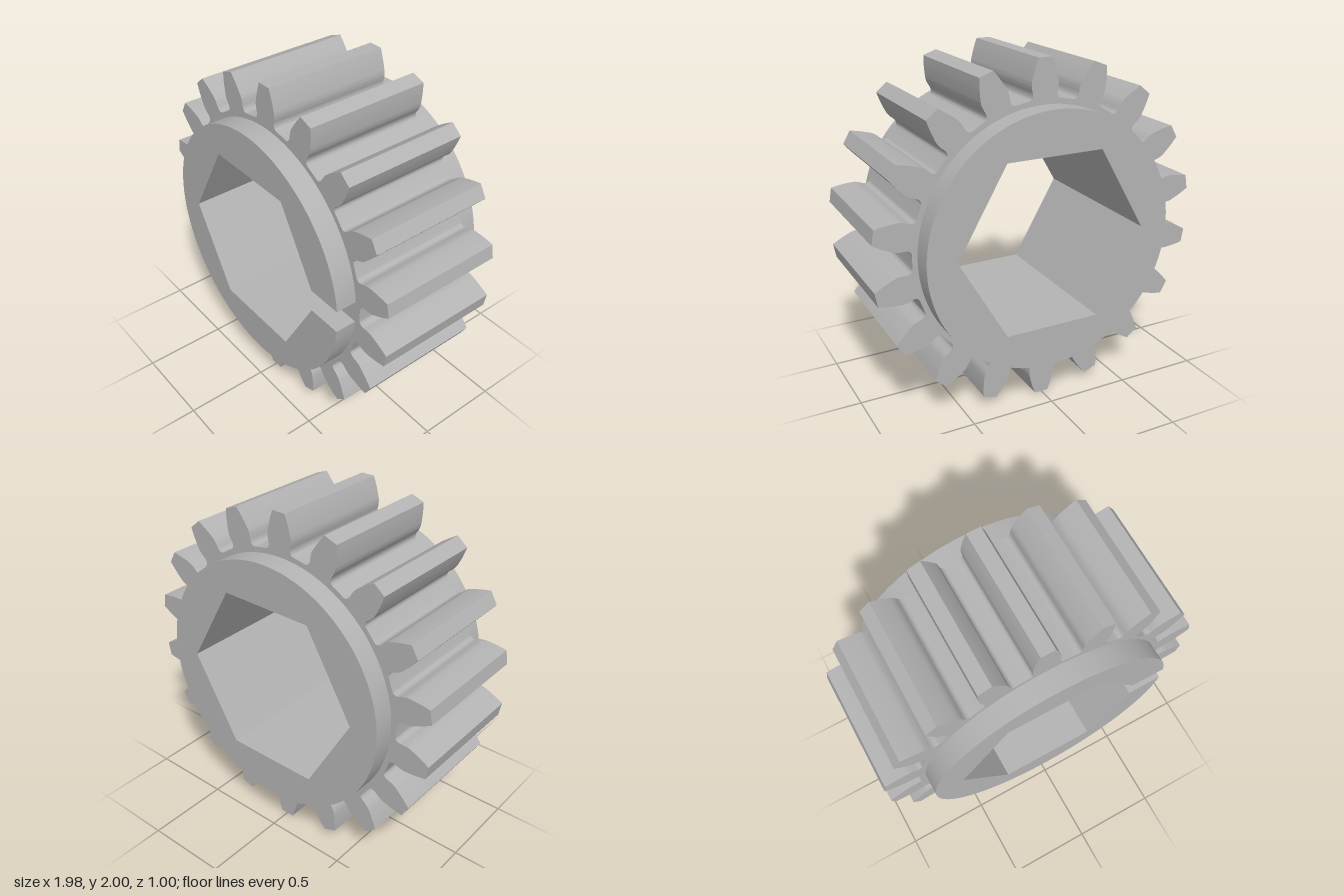
import * as THREE from 'three';
import { toCreasedNormals } from 'three/addons/utils/BufferGeometryUtils.js';

const TEETH = 18;
const HUB_R = 0.75;
const BORE_R = 0.5 / Math.cos(Math.PI / 6);
const FACE_Z = 0.375; // half width of the toothed ring
const HUB_Z = 0.5; // half width over the hubs
const SLOT = 0.069; // half height of the slot in the front hub

const polar = (r, a) => new THREE.Vector2(r * Math.cos(a), r * Math.sin(a));
const hexCorner = (i) => polar(BORE_R, (i * Math.PI) / 3);

// Hexagonal bore, clockwise
function boreHole() {
  return new THREE.Path([0, 5, 4, 3, 2, 1].map(hexCorner));
}

// Outline of the toothed ring: one flank curve, mirrored and repeated
function gearShape() {
  const flank = new THREE.SplineCurve([
    [0.775, 0.098], [0.779, 0.086], [0.79, 0.077], [0.81, 0.074],
    [0.835, 0.079], [0.865, 0.081], [0.9, 0.074], [0.95, 0.06], [1.0, 0.042],
  ].map(([r, w]) => new THREE.Vector2(r, w))).getPoints(28);
  const side = (s) => flank.map((p) => new THREE.Vector2(p.x, s * p.y));
  const tooth = [...side(-1), ...side(1).reverse()];
  const points = [];
  for (let i = 0; i < TEETH; i++) {
    const a = ((i + 0.5) * 2 * Math.PI) / TEETH;
    for (const p of tooth) points.push(p.clone().rotateAround(new THREE.Vector2(), a));
  }
  const shape = new THREE.Shape(points);
  shape.holes.push(boreHole());
  return shape;
}

// Plain round hub
function hubShape() {
  const shape = new THREE.Shape().absarc(0, 0, HUB_R, 0, 2 * Math.PI, false);
  shape.holes.push(boreHole());
  return shape;
}

// Hub cut through by a slot on the +x side
function slottedHubShape() {
  const a = Math.asin(SLOT / HUB_R);
  const x = BORE_R - SLOT / Math.sqrt(3);
  const points = [];
  const steps = 96;
  for (let i = 0; i <= steps; i++) points.push(polar(HUB_R, a + ((2 * Math.PI - 2 * a) * i) / steps));
  points.push(new THREE.Vector2(x, -SLOT));
  for (let i = 5; i >= 1; i--) points.push(hexCorner(i));
  points.push(new THREE.Vector2(x, SLOT));
  return new THREE.Shape(points);
}

export function createModel() {
  const steel = new THREE.MeshStandardMaterial({ color: 0xb3b3b3 });
  steel.name = 'steel grey';
  const group = new THREE.Group();
  group.name = 'spurGear';

  const addPlate = (name, shape, z0, z1) => {
    const geometry = new THREE.ExtrudeGeometry(shape, { depth: z1 - z0, bevelEnabled: false, curveSegments: 96 });
    const mesh = new THREE.Mesh(toCreasedNormals(geometry, 0.6), steel);
    mesh.name = name;
    mesh.position.set(0, 1, z0);
    group.add(mesh);
  };

  addPlate('toothedRing', gearShape(), -FACE_Z, FACE_Z);
  addPlate('frontHub', slottedHubShape(), FACE_Z, HUB_Z);
  addPlate('backHub', hubShape(), -HUB_Z, -FACE_Z);
  return group;
}
